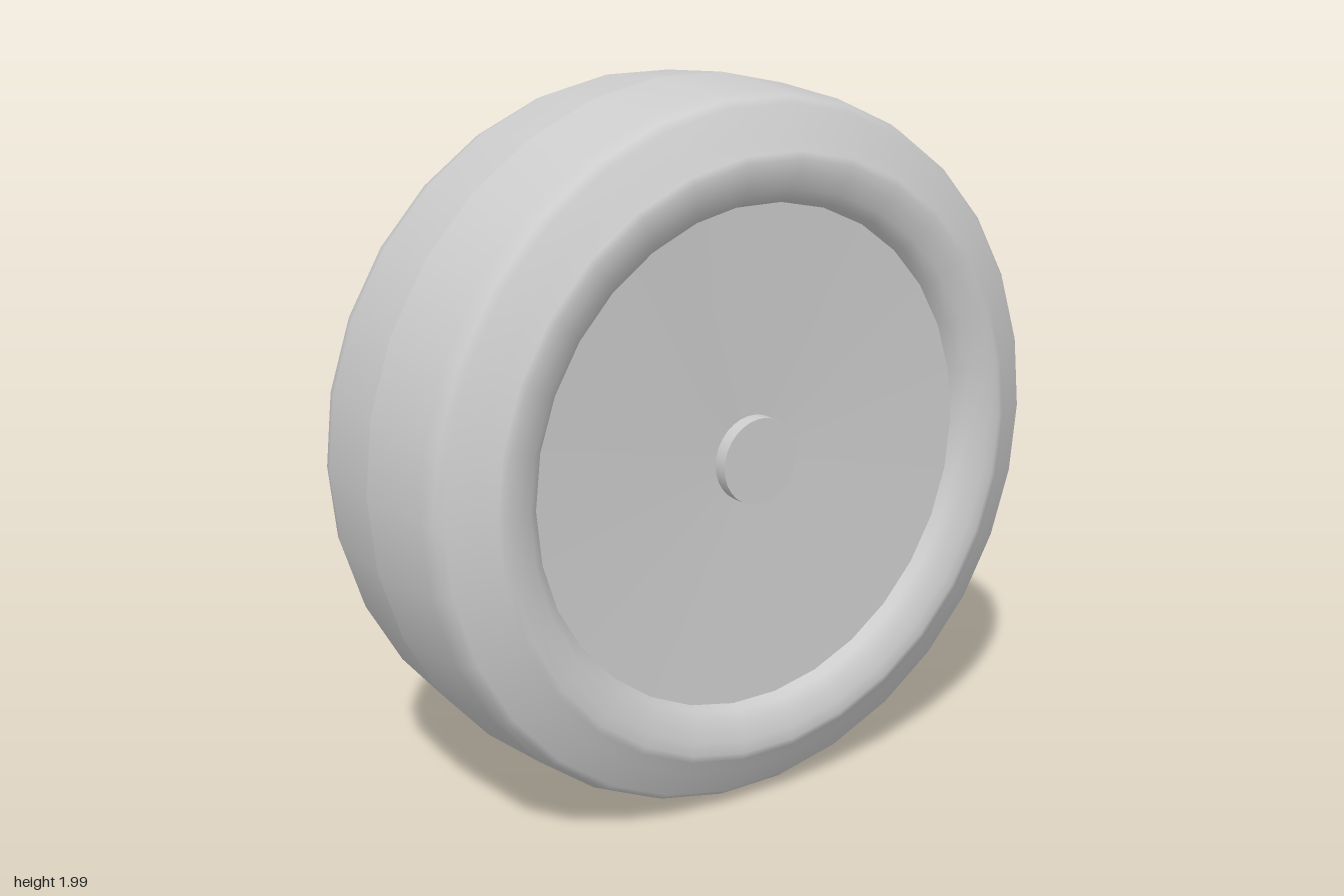
import * as THREE from 'three';

const SIDES = 30;

// Revolves a list of [x, radius] points around the x axle; the points run from inner edge to outer end.
function revolve(points, material, name) {
  const geometry = new THREE.LatheGeometry(points.map(([x, r]) => new THREE.Vector2(r, x)), SIDES);
  geometry.rotateZ(-Math.PI / 2);
  const mesh = new THREE.Mesh(geometry, material);
  mesh.name = name;
  return mesh;
}

export function createModel() {
  const grey = new THREE.MeshStandardMaterial({ color: 0xcccccc });
  grey.name = 'grey';

  const wheel = new THREE.Group();
  wheel.name = 'wheel';

  for (const angle of [0, Math.PI]) {
    const half = new THREE.Group();
    half.name = angle ? 'rightHalf' : 'leftHalf';

    // Tread and rounded sidewall, from the middle of the tread to the rim lip
    half.add(revolve([
      [0, 1], [0.25, 0.982], [0.295, 0.968], [0.316, 0.95], [0.347, 0.878], [0.376, 0.835],
      [0.381, 0.815], [0.378, 0.78], [0.362, 0.735], [0.34, 0.705], [0.305, 0.692],
    ], grey, 'tyre'));

    // Slightly dished wheel disc
    half.add(revolve([[0.31, 0.695], [0.285, 0]], grey, 'disc'));

    // Hub cap
    const hub = new THREE.Mesh(new THREE.CylinderGeometry(0.12, 0.12, 0.05, SIDES), grey);
    hub.name = 'hubCap';
    hub.rotation.z = -Math.PI / 2;
    hub.position.x = 0.305;
    half.add(hub);

    half.rotation.y = angle;
    wheel.add(half);
  }

  wheel.position.y = 0.997;
  const model = new THREE.Group();
  model.name = 'model';
  model.add(wheel);
  return model;
}
